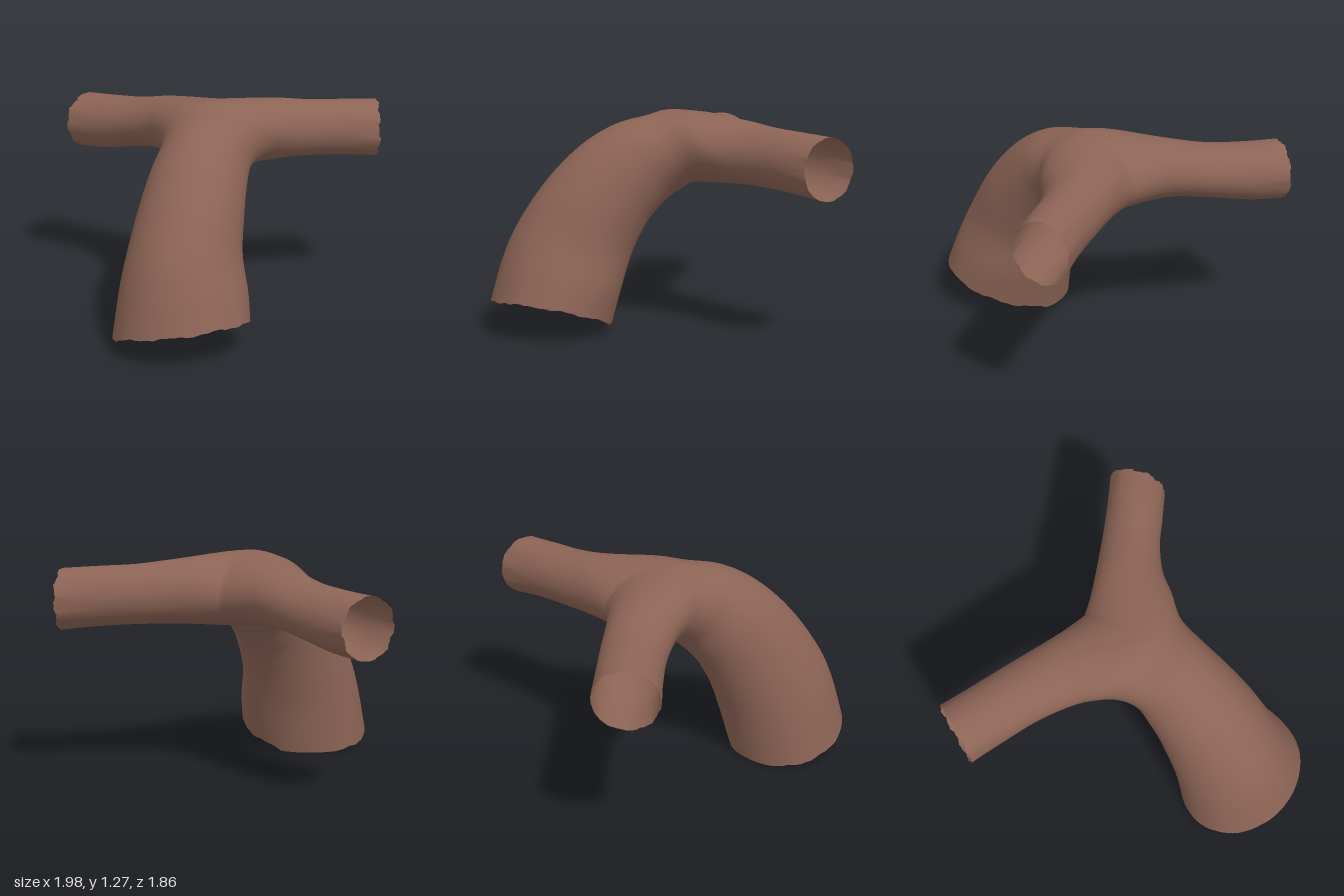
import * as THREE from 'three';
import { mergeGeometries, mergeVertices } from 'three/addons/utils/BufferGeometryUtils.js';

const N = 64; // points around every ring
const STEPS = 8; // rows between two key rings
const V = (x, y, z) => new THREE.Vector3(x, y, z);

// Closed ring of points; fn receives cos, sin and index
function ring(fn) {
  return Array.from({ length: N }, (_, i) => {
    const a = (i / N) * Math.PI * 2;
    return fn(Math.cos(a), Math.sin(a), i);
  });
}

// Trunk ring from its outer (z, y), inner (z, y) and x range
function trunkRing([oz, oy, iz, iy, x0, x1]) {
  return ring((c, s) => V(
    (x0 + x1) / 2 + c * (x1 - x0) / 2,
    (oy + iy) / 2 + s * (oy - iy) / 2,
    (oz + iz) / 2 + s * (oz - iz) / 2));
}

// Branch ring from its front (x, z), back (x, z), top y and bottom y
function branchRing([ax, az, bx, bz, top, bottom], side) {
  return ring((c, s) => V(
    (ax + bx) / 2 + side * c * (ax - bx) / 2,
    (top + bottom) / 2 + s * (top - bottom) / 2,
    (az + bz) / 2 + side * c * (az - bz) / 2));
}

// Smooth skin through key rings, with guide rings before and after
function skin(rings, before, after) {
  const all = [before, ...rings, after];
  const pos = [], idx = [];
  const cr = (p, q, r, s, t) => 0.5 * (2 * q + (r - p) * t
    + (2 * p - 5 * q + 4 * r - s) * t * t + (3 * q - p - 3 * r + s) * t * t * t);
  const rows = (rings.length - 1) * STEPS;
  for (let j = 0; j <= rows; j++) {
    const k = Math.min(Math.floor(j / STEPS), rings.length - 2);
    const t = j / STEPS - k;
    for (let i = 0; i < N; i++) {
      const [p, q, r, s] = [0, 1, 2, 3].map((d) => all[k + d][i]);
      for (const ax of ['x', 'y', 'z']) pos.push(cr(p[ax], q[ax], r[ax], s[ax], t));
      if (j < rows) {
        const a = j * N + i, b = j * N + (i + 1) % N;
        idx.push(a, a + N, b, b, a + N, b + N);
      }
    }
  }
  const g = new THREE.BufferGeometry();
  g.setAttribute('position', new THREE.Float32BufferAttribute(pos, 3));
  g.setIndex(idx);
  return g;
}

// Small uneven wobble for the cut rims
const ragged = (i) => 0.5 * Math.sin(i * 0.9) + 0.3 * Math.sin(i * 2.3 + 1) + 0.2 * Math.sin(i * 0.4);

export function createModel() {
  // Curved trunk, from the mouth up to the fork
  const trunk = [
    [0.93, 0.19, 0.23, 0.01, -0.37, 0.41],
    [0.86, 0.42, 0.17, 0.25, -0.34, 0.385],
    [0.77, 0.62, 0.10, 0.45, -0.31, 0.335],
    [0.60, 0.87, 0.02, 0.61, -0.275, 0.32],
    [0.40, 1.07, -0.05, 0.70, -0.245, 0.31],
    [0.20, 1.19, -0.12, 0.77, -0.22, 0.31],
    [0.00, 1.24, -0.18, 0.81, -0.25, 0.34],
    [-0.15, 1.27, -0.24, 0.85, -0.33, 0.43],
  ].map(trunkRing);

  // Mouth rim: higher on one side, slightly torn
  trunk[0].forEach((p, i) => {
    const c = Math.cos((i / N) * Math.PI * 2);
    p.y = Math.max(0, p.y + (c > 0 ? 0.09 : 0.06) * c + 0.012 * ragged(i));
  });

  // Two branches: side +1 is the model's left, -1 its right
  const left = [
    [0.53, -0.32, 0.2, -0.59, 1.235, 0.87],
    [0.67, -0.43, 0.45, -0.70, 1.21, 0.87],
    [0.82, -0.51, 0.68, -0.81, 1.20, 0.86],
    [0.995, -0.6, 0.9, -0.92, 1.19, 0.84],
  ].map((r) => branchRing(r, 1));
  const right = [
    [-0.43, -0.30, -0.16, -0.61, 1.215, 0.89],
    [-0.60, -0.42, -0.42, -0.74, 1.17, 0.86],
    [-0.80, -0.52, -0.65, -0.85, 1.15, 0.815],
    [-1.0, -0.6, -0.84, -0.93, 1.14, 0.80],
  ].map((r) => branchRing(r, -1));
  for (const b of [left, right]) {
    b[3].forEach((p, i) => { p.x -= Math.sign(p.x) * 0.012 * (1 + ragged(i)); });
  }

  // Fork: each branch starts on half the trunk ring plus a shared saddle
  const fork = trunk[7], last = trunk[6];
  const outer = (c, side) => c * side > -1e-6;
  const start = (side) => ring((c, s, i) => (outer(c, side) ? fork[i].clone()
    : V(0.05, fork[i].y, fork[i].z - 0.345 * Math.abs(c))));
  const guide = (side, first) => ring((c, s, i) => (outer(c, side) ? last[i] : first[i]));
  const beyond = ring((c, s, i) => (Math.abs(c) < 1e-6
    ? left[0][i].clone().lerp(right[0][i], 0.5)
    : (c > 0 ? left : right)[0][i]));

  const parts = [skin(trunk, trunk[0], beyond)];
  for (const [side, rings] of [[1, left], [-1, right]]) {
    const first = start(side);
    parts.push(skin([first, ...rings], guide(side, first), rings[3]));
  }

  // Join into one continuous smooth wall
  const wall = mergeVertices(mergeGeometries(parts), 1e-4);
  wall.computeVertexNormals();
  const mesh = new THREE.Mesh(wall, new THREE.MeshStandardMaterial({
    color: 0x8c6455, side: THREE.DoubleSide,
  }));
  mesh.name = 'forkedTubeWall';

  const group = new THREE.Group();
  group.name = 'forkedTube';
  group.add(mesh);
  return group;
}
